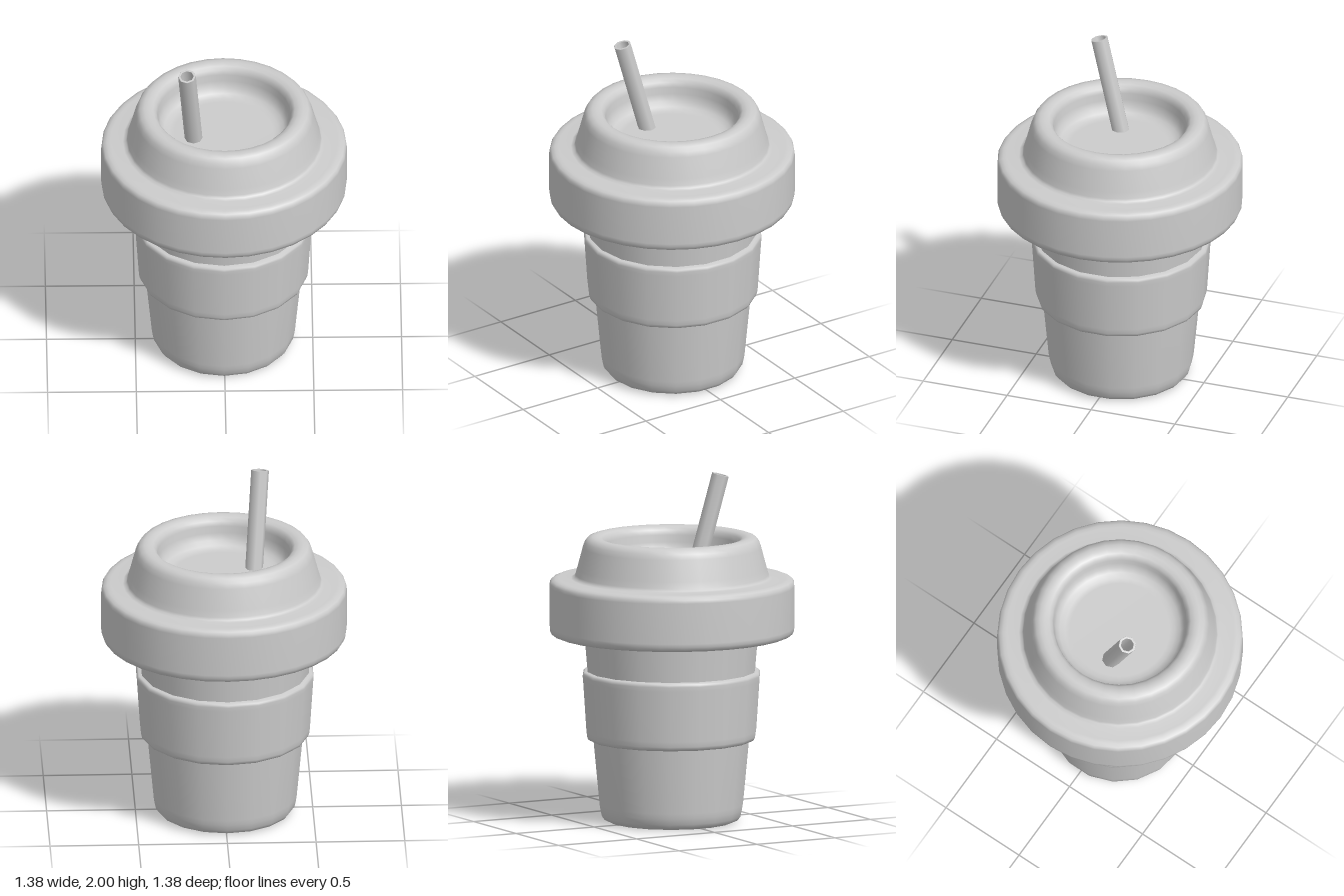
import * as THREE from 'three';

const lightGrey = new THREE.MeshStandardMaterial({ color: 0xcccccc });
lightGrey.name = 'lightGrey';

// Revolve a bottom-to-top [radius, height] profile
function turned(name, profile, sides) {
  const points = profile.map(([r, y]) => new THREE.Vector2(r, y));
  const mesh = new THREE.Mesh(new THREE.LatheGeometry(points, sides), lightGrey);
  mesh.name = name;
  return mesh;
}

export function createModel() {
  const group = new THREE.Group();
  group.name = 'takeawayCup';

  // Tapered cup with a rounded base
  const cup = turned('cup', [
    [0, 0], [0.34, 0], [0.355, 0.002], [0.38, 0.013], [0.396, 0.035],
    [0.404, 0.07], [0.409, 0.1], [0.444, 0.47], [0.474, 0.82], [0.497, 1.09],
  ], 18);

  // Grip band around the cup
  const sleeve = turned('sleeve', [
    [0.43, 0.465], [0.462, 0.466], [0.474, 0.474], [0.48, 0.49],
    [0.484, 0.52], [0.503, 0.81], [0.506, 0.835], [0.503, 0.848],
    [0.494, 0.857], [0.46, 0.86],
  ], 18);
  for (const part of [cup, sleeve]) part.position.set(-0.004, 0, -0.006);

  // Lid: wide rim, sloping dome and sunken top
  const lid = turned('lid', [
    [0.44, 1.06], [0.645, 1.06], [0.66, 1.062], [0.68, 1.07], [0.69, 1.09],
    [0.692, 1.11], [0.692, 1.34], [0.69, 1.358], [0.68, 1.373],
    [0.66, 1.38], [0.64, 1.382], [0.57, 1.384], [0.552, 1.39],
    [0.545, 1.405], [0.535, 1.44], [0.503, 1.56], [0.492, 1.59],
    [0.475, 1.612], [0.45, 1.62], [0.425, 1.62], [0.4, 1.613],
    [0.383, 1.597], [0.375, 1.57], [0.372, 1.53], [0.362, 1.49],
    [0.34, 1.465], [0.31, 1.453], [0.28, 1.45], [0, 1.45],
  ], 32);

  // Hollow leaning straw
  const base = new THREE.Vector3(-0.17, 1.42, 0.05);
  const tip = new THREE.Vector3(-0.211, 1.987, 0.196);
  const length = base.distanceTo(tip);
  const straw = turned('straw', [
    [0.05, 0], [0.05, length - 0.002], [0.049, length],
    [0.038, length], [0.037, length - 0.002], [0.037, 0.05], [0, 0.05],
  ], 8);
  straw.position.copy(base);
  straw.quaternion.setFromUnitVectors(
    new THREE.Vector3(0, 1, 0), tip.clone().sub(base).normalize());

  group.add(cup, sleeve, lid, straw);
  return group;
}
